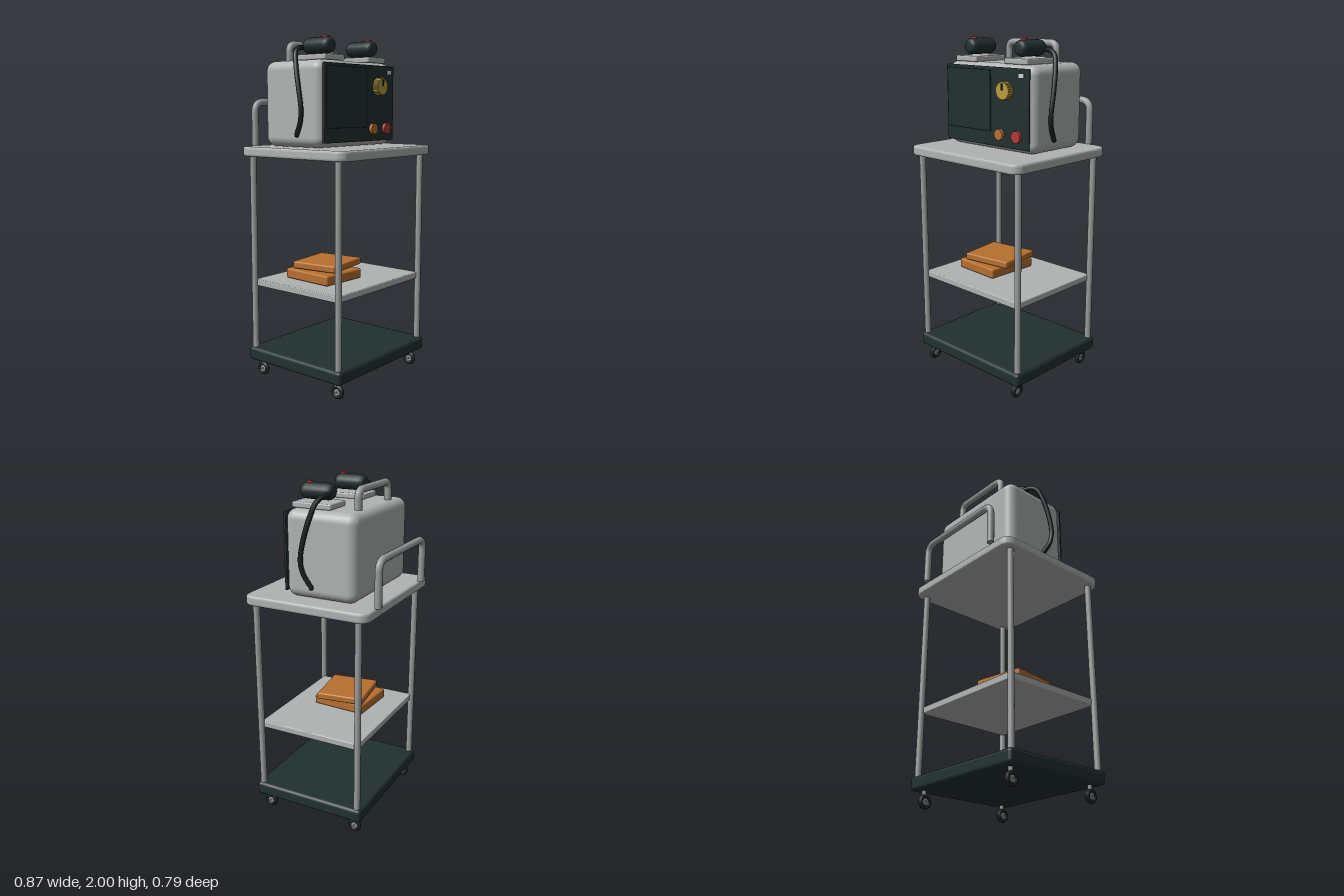
import * as THREE from 'three';
import { RoundedBoxGeometry } from 'three/addons/geometries/RoundedBoxGeometry.js';

const mat = (name, color) => Object.assign(new THREE.MeshStandardMaterial({ color }), { name });

export function createModel() {
  const root = new THREE.Group();
  root.name = 'equipmentCart';
  const shell = mat('light grey enamel', 0xb0b3b2);
  const metal = mat('tube metal', 0x9b9e9e);
  const dark = mat('dark panel', 0x223030);
  const rubber = mat('black rubber', 0x1a2324);
  const gold = mat('gold knob', 0xb89c3e);
  const orange = mat('orange', 0xb87030);
  const red = mat('red', 0xb33b39);
  const white = mat('pale label', 0xd2d6d6);

  const add = (name, geo, material, x = 0, y = 0, z = 0, parent = root) => {
    const m = new THREE.Mesh(geo, material);
    m.name = name;
    m.position.set(x, y, z);
    parent.add(m);
    return m;
  };
  const rbox = (w, h, d, r) => new RoundedBoxGeometry(w, h, d, 3, r);
  const cyl = (r, h, n = 20) => new THREE.CylinderGeometry(r, r, h, n);
  const discZ = (r, h, n = 24) => cyl(r, h, n).rotateX(Math.PI / 2);

  // Horizontal slab with rounded corners and softened edges
  const slab = (w, h, d, r, bevel) => {
    const a = w / 2 - bevel, b = d / 2 - bevel, q = r - bevel;
    const s = new THREE.Shape();
    s.absarc(a - q, b - q, q, 0, Math.PI / 2);
    s.absarc(-a + q, b - q, q, Math.PI / 2, Math.PI);
    s.absarc(-a + q, -b + q, q, Math.PI, Math.PI * 1.5);
    s.absarc(a - q, -b + q, q, Math.PI * 1.5, Math.PI * 2);
    return new THREE.ExtrudeGeometry(s, {
      depth: h - 2 * bevel, bevelThickness: bevel, bevelSize: bevel, bevelSegments: 3, curveSegments: 6,
    }).translate(0, 0, bevel - h / 2).rotateX(-Math.PI / 2);
  };

  // Upright U-shaped tube handle
  const handle = (name, half, y0, y1, z, r, bend) => {
    const path = new THREE.CurvePath();
    const v = (x, y) => new THREE.Vector3(x, y, z);
    path.add(new THREE.LineCurve3(v(-half, y0), v(-half, y1 - bend)));
    path.add(new THREE.QuadraticBezierCurve3(v(-half, y1 - bend), v(-half, y1), v(-half + bend, y1)));
    path.add(new THREE.LineCurve3(v(-half + bend, y1), v(half - bend, y1)));
    path.add(new THREE.QuadraticBezierCurve3(v(half - bend, y1), v(half, y1), v(half, y1 - bend)));
    path.add(new THREE.LineCurve3(v(half, y1 - bend), v(half, y0)));
    add(name, new THREE.TubeGeometry(path, 72, r, 12), metal);
    for (const s of [-1, 1]) add(name + 'End', cyl(r, 0.004, 12), metal, s * half, y0 + 0.002, z);
  };

  // Cart
  add('tableTop', slab(0.866, 0.057, 0.77, 0.06, 0.014), shell, 0, 1.352, 0.01);
  add('middleShelf', rbox(0.77, 0.04, 0.64, 0.006), shell, 0, 0.575, 0.013);
  add('basePlatform', rbox(0.832, 0.08, 0.705, 0.02), dark, 0, 0.141, 0.013);
  for (const x of [-1, 1]) {
    for (const z of [0.333, -0.307]) add('post', cyl(0.019, 1.17, 12), metal, x * 0.387, 0.752, z);
    for (const z of [0.303, -0.277]) {
      const c = new THREE.Group();
      c.name = 'caster';
      c.position.set(x * 0.355, 0.042, z);
      root.add(c);
      add('tyre', new THREE.TorusGeometry(0.029, 0.013, 8, 20).rotateY(Math.PI / 2), rubber, 0, 0, 0, c);
      add('hub', cyl(0.022, 0.016, 16).rotateZ(Math.PI / 2), metal, 0, 0, 0, c);
      add('axle', cyl(0.006, 0.032, 8).rotateZ(Math.PI / 2), metal, 0, 0, 0, c);
      add('stem', cyl(0.013, 0.03, 10), metal, 0, 0.052, -0.006, c);
    }
  }
  handle('pushHandle', 0.298, 1.38, 1.635, -0.377, 0.021, 0.06);

  // Two books on the shelf
  add('lowerBook', rbox(0.3, 0.06, 0.335, 0.012), orange, -0.113, 0.628, -0.005).rotation.y = -0.05;
  add('upperBook', rbox(0.31, 0.042, 0.288, 0.01), orange, -0.08, 0.685, -0.004).rotation.y = 0.14;

  // Machine body and front panel
  add('machineBody', new RoundedBoxGeometry(0.68, 0.482, 0.43, 5, 0.055), shell, 0, 1.623, -0.048);
  add('frontPanel', rbox(0.645, 0.437, 0.014, 0.005), dark, -0.002, 1.628, 0.175);
  add('screenPlate', rbox(0.35, 0.34, 0.009, 0.003), dark, -0.134, 1.66, 0.188);
  add('label', new THREE.BoxGeometry(0.036, 0.02, 0.006), white, 0.268, 1.809, 0.184);
  add('orangeButton', discZ(0.031, 0.02), orange, 0.11, 1.48, 0.191);
  add('redButton', discZ(0.033, 0.02), red, 0.24, 1.48, 0.191);

  // Serrated dial with pointer
  const gear = new THREE.Shape();
  for (let i = 0; i < 48; i++) {
    const a = (i / 48) * Math.PI * 2, r = i % 2 ? 0.046 : 0.051;
    gear[i ? 'lineTo' : 'moveTo'](r * Math.cos(a), r * Math.sin(a));
  }
  add('dial', new THREE.ExtrudeGeometry(gear, { depth: 0.038, bevelEnabled: false }), gold, 0.16, 1.725, 0.182);
  add('dialPointer', new THREE.BoxGeometry(0.01, 0.036, 0.007), rubber, 0.16, 1.747, 0.222);

  handle('carryHandle', 0.186, 1.85, 1.966, -0.2, 0.021, 0.045);

  // Paddles with rests, buttons and cables, mirrored
  const profile = [[0, 0], [0.026, 0], [0.038, 0.006], [0.046, 0.017], [0.05, 0.034],
    [0.05, 0.159], [0.046, 0.176], [0.038, 0.187], [0.026, 0.193], [0, 0.193]];
  const paddle = new THREE.LatheGeometry(profile.map(p => new THREE.Vector2(...p)), 16)
    .rotateX(Math.PI / 2).translate(0, 0, -0.063).scale(1, 0.92, 1);
  const cablePoints = [[0.235, 1.937, -0.052], [0.285, 1.932, -0.038], [0.325, 1.905, -0.022], [0.352, 1.82, 0.005],
    [0.366, 1.71, 0.034], [0.367, 1.6, 0.052], [0.36, 1.53, 0.041], [0.345, 1.453, 0.0]];
  for (const s of [-1, 1]) {
    add('paddleRest', rbox(0.172, 0.032, 0.237, 0.008), shell, s * 0.194, 1.879, 0.033);
    add('paddle', paddle, dark, s * 0.194, 1.947, 0);
    add('paddleButton', cyl(0.02, 0.02, 16), red, s * 0.194, 1.99, 0.083);
    const curve = new THREE.CatmullRomCurve3(cablePoints.map(([x, y, z]) => new THREE.Vector3(s * x, y, z)));
    add('cable', new THREE.TubeGeometry(curve, 40, 0.014, 8), rubber);
    add('cablePlug', new THREE.SphereGeometry(0.014, 10, 8), rubber, s * 0.345, 1.453, 0);
  }
  return root;
}
